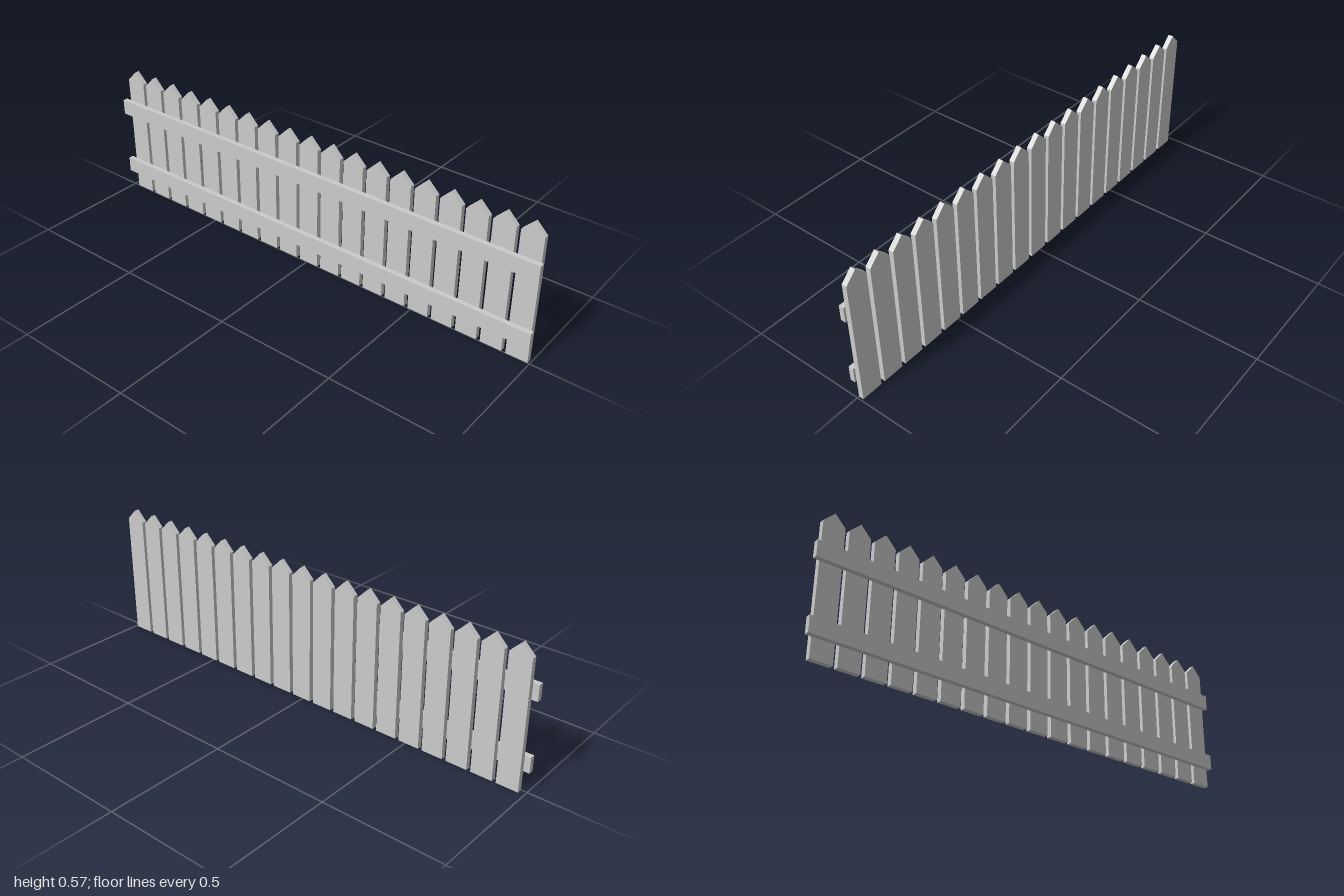
import * as THREE from 'three';

export function createModel() {
  const group = new THREE.Group();
  const material = new THREE.MeshStandardMaterial({ color: 0xcccccc, flatShading: true });

  const thickness = 0.021;
  const halfWidth = 0.044;
  const shoulder = 0.522;
  const tip = 0.566;

  // Pointed picket outline, extruded along +x
  const outline = new THREE.Shape([
    new THREE.Vector2(-halfWidth, 0),
    new THREE.Vector2(halfWidth, 0),
    new THREE.Vector2(halfWidth, shoulder),
    new THREE.Vector2(0, tip),
    new THREE.Vector2(-halfWidth, shoulder),
  ]);
  const picketGeometry = new THREE.ExtrudeGeometry(outline, { depth: thickness, bevelEnabled: false });
  picketGeometry.rotateY(Math.PI / 2);

  // Row of evenly spaced pickets
  const count = 19;
  const firstZ = -0.932;
  const lastZ = 0.948;
  for (let i = 0; i < count; i++) {
    const picket = new THREE.Mesh(picketGeometry, material);
    picket.name = `picket${i + 1}`;
    picket.position.z = firstZ + ((lastZ - firstZ) * i) / (count - 1);
    group.add(picket);
  }

  // Two horizontal rails behind the pickets
  const railGeometry = new THREE.BoxGeometry(thickness, 0.064, 2);
  for (const [name, y] of [['lowerRail', 0.11], ['upperRail', 0.393]]) {
    const rail = new THREE.Mesh(railGeometry, material);
    rail.name = name;
    rail.position.set(-thickness / 2, y, 0);
    group.add(rail);
  }

  return group;
}
